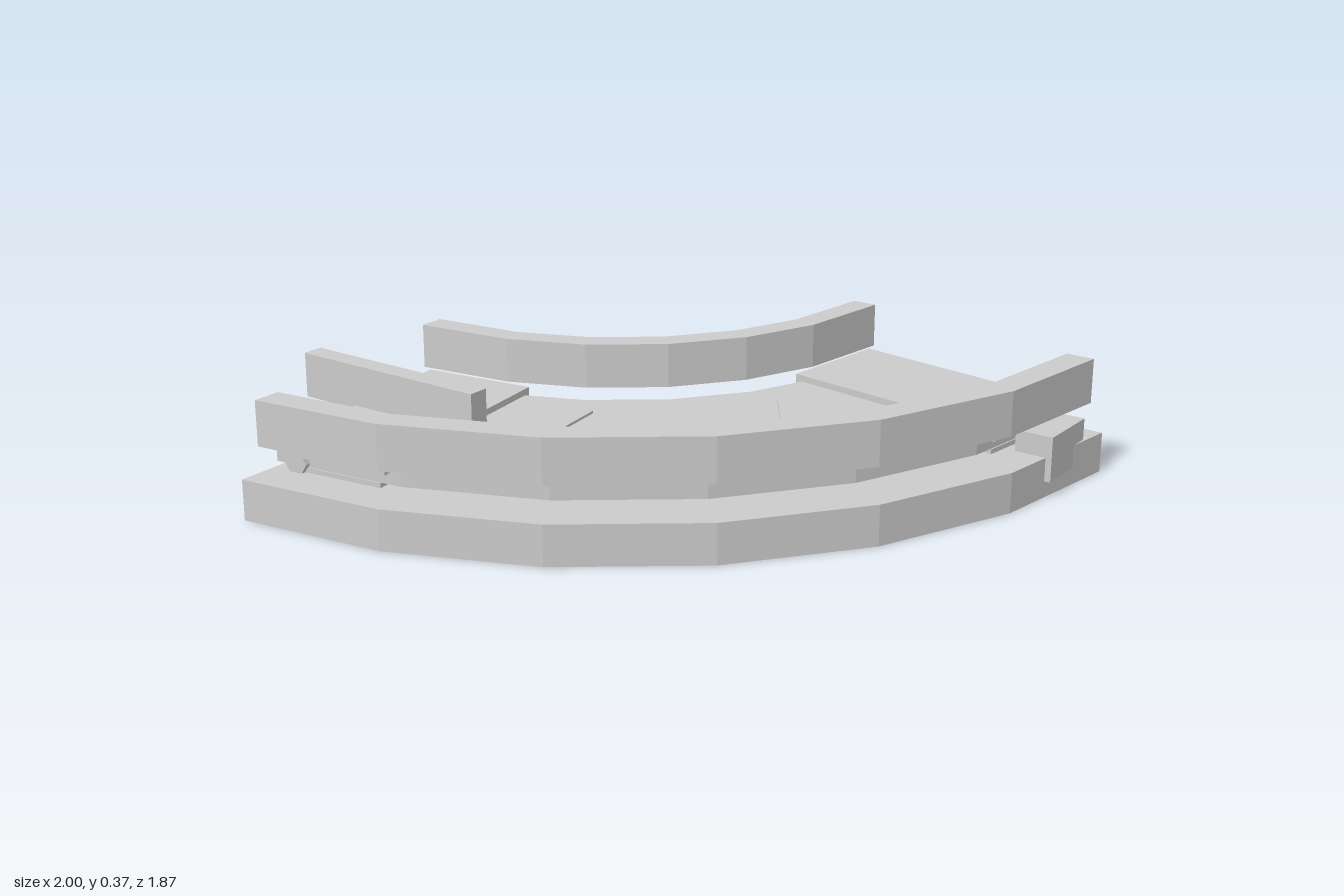
import * as THREE from 'three';

const CX = -0.81, CZ = -0.88; // centre of the quarter bend
const STEPS = 6;
const material = new THREE.MeshStandardMaterial({ color: 0xcccccc, flatShading: true });

function createMesh(name, geometry) {
  const mesh = new THREE.Mesh(geometry, material);
  mesh.name = name;
  return mesh;
}

function polar(r, degrees) {
  const a = THREE.MathUtils.degToRad(degrees);
  return new THREE.Vector2(CX + r * Math.sin(a), CZ + r * Math.cos(a));
}

// Faceted arc; both ends are lengthened (or shortened) along their chords
function arc(r, extend) {
  const pts = [];
  for (let i = 0; i <= STEPS; i++) pts.push(polar(r, (i * 90) / STEPS));
  const slope = Math.tan(Math.PI / 24);
  pts[0].add(new THREE.Vector2(-extend, extend * slope));
  pts[STEPS].add(new THREE.Vector2(extend * slope, -extend));
  return pts;
}

// Upright prism from a plan outline of (x, z) points
function prism(name, outline, y0, y1) {
  const shape = new THREE.Shape(outline.map((p) => new THREE.Vector2(p.x, -p.y)));
  const geometry = new THREE.ExtrudeGeometry(shape, { depth: y1 - y0, bevelEnabled: false });
  geometry.rotateX(-Math.PI / 2).translate(0, y0, 0);
  return createMesh(name, geometry);
}

function band(name, rIn, rOut, y0, y1, extend = 0) {
  return prism(name, [...arc(rOut, extend), ...arc(rIn, extend).reverse()], y0, y1);
}

function box(name, x0, x1, y0, y1, z0, z1) {
  const geometry = new THREE.BoxGeometry(x1 - x0, y1 - y0, z1 - z0);
  geometry.translate((x0 + x1) / 2, (y0 + y1) / 2, (z0 + z1) / 2);
  return createMesh(name, geometry);
}

// Straight end unit: cover plate, pad beneath the belt and six-sided roller
function endUnit(name, degrees, side) {
  const unit = new THREE.Group();
  unit.name = name;
  const span = (a, b) => (side > 0 ? [a, b] : [-b, -a]);
  unit.add(box('coverPlate', ...span(-0.165, 0.2), 0.187, 0.225, 0.95, 1.705));
  unit.add(box('lowerPad', ...span(-0.12, 0.15), 0.125, 0.14, 1.02, 1.66));
  const rollerGeometry = new THREE.CylinderGeometry(0.038, 0.038, 0.7, 6, 1, false, Math.PI / 6);
  rollerGeometry.rotateX(Math.PI / 2).translate(-0.137 * side, 0.153, 1.325);
  unit.add(createMesh('endRoller', rollerGeometry));
  unit.position.set(CX, 0, CZ);
  unit.rotation.y = THREE.MathUtils.degToRad(degrees);
  return unit;
}

// Thin V-shaped direction marker pointing back along the belt
function chevron(name, degrees) {
  const width = 1.7;
  return prism(name, [
    polar(1.12, degrees + 4.5), polar(1.35, degrees), polar(1.56, degrees + 6),
    polar(1.56, degrees + 6 + width), polar(1.35, degrees + width), polar(1.12, degrees + 4.5 + width),
  ], 0.203, 0.213);
}

export function createModel() {
  const model = new THREE.Group();
  model.name = 'curvedConveyor';

  // Base and belt
  model.add(band('base', 0.875, 1.81, 0, 0.125));
  model.add(band('belt', 1.0, 1.67, 0.14, 0.205));

  // Floating guide rails
  model.add(band('innerRail', 0.885, 0.963, 0.232, 0.37, 0.058));
  model.add(band('outerRail', 1.71, 1.798, 0.232, 0.37, -0.055));

  // End units at both mouths of the bend
  model.add(endUnit('frontEnd', 7.5, 1));
  model.add(endUnit('backEnd', 82.5, -1));

  // Direction markers
  model.add(chevron('frontMarker', 26));
  model.add(chevron('backMarker', 57));

  // Stop bar over the front mouth
  model.add(box('stopBar', -1, -0.335, 0.213, 0.352, 0.41, 0.475));

  // Bracket on the outer edge near the back mouth
  const bracket = new THREE.Group();
  bracket.name = 'sideBracket';
  bracket.add(box('bracketTop', 0.86, 0.98, 0.125, 0.192, -0.79, -0.58));
  bracket.add(box('bracketFlap', 0.96, 0.98, 0.052, 0.192, -0.79, -0.58));
  model.add(bracket);

  return model;
}
